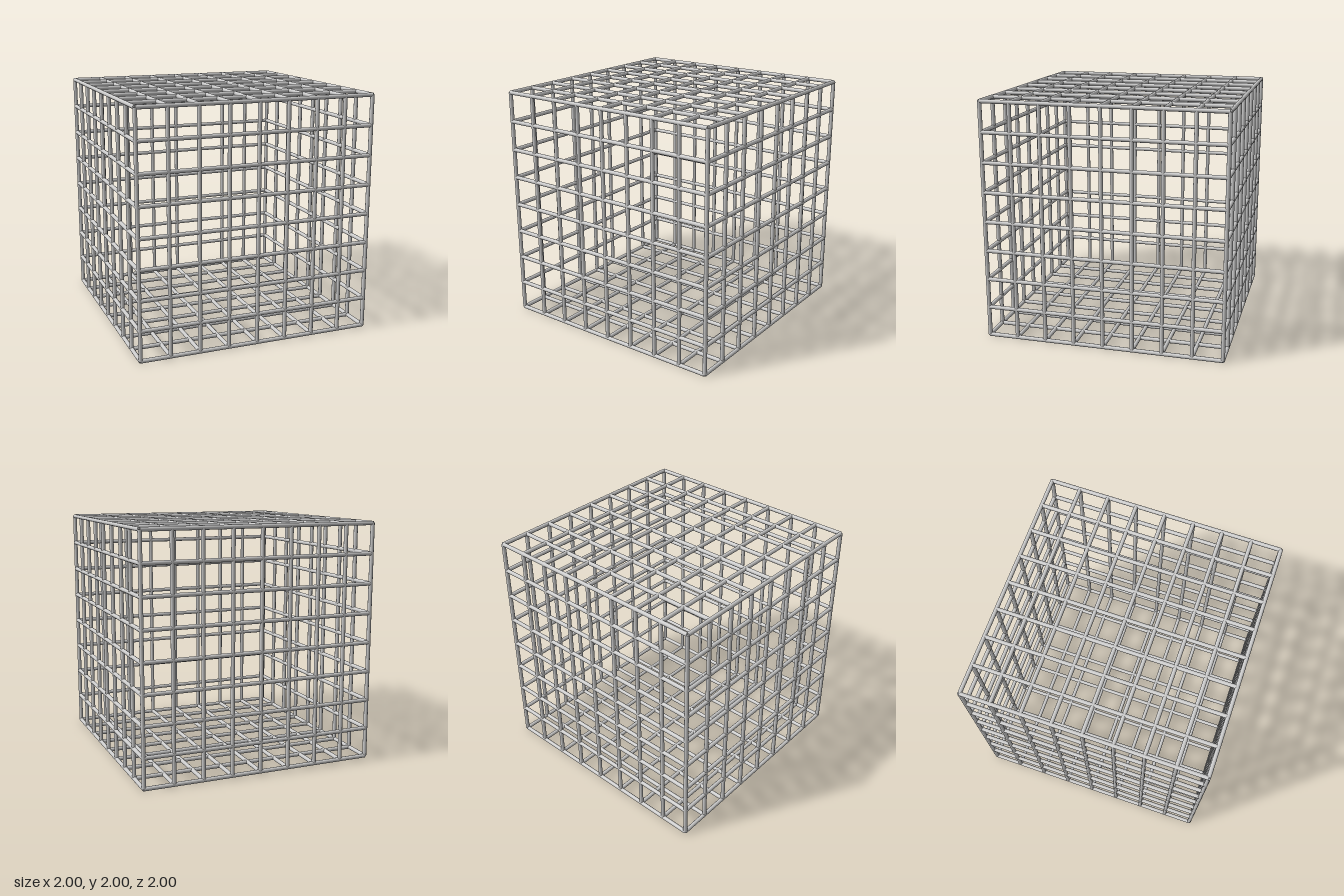
import * as THREE from 'three';

const CELLS = 8;                     // grid cells along each edge
const RADIUS = 0.017;                // bar radius
const HALF = 1 - RADIUS;             // distance from centre to the outer bar axes
const STEP = (2 * HALF) / CELLS;

export function createModel() {
  const model = new THREE.Group();
  model.name = 'cubeCage';
  const material = new THREE.MeshStandardMaterial({ color: 0xcccccc });
  const barGeometry = new THREE.CylinderGeometry(RADIUS, RADIUS, 2 * HALF, 12);

  // Each bar set runs along one axis; place maps grid offsets to a position
  const sets = [
    { name: 'uprightBar', rotation: [0, 0, 0], place: (a, b) => [a, 0, b] },
    { name: 'crossBar', rotation: [0, 0, Math.PI / 2], place: (a, b) => [0, a, b] },
    { name: 'depthBar', rotation: [Math.PI / 2, 0, 0], place: (a, b) => [a, b, 0] },
  ];
  const onRim = (i) => i === 0 || i === CELLS;

  for (const { name, rotation, place } of sets) {
    const group = new THREE.Group();
    group.name = name + 's';
    for (let i = 0; i <= CELLS; i++) {
      for (let j = 0; j <= CELLS; j++) {
        // Bars lie only in the six outer faces; the inside is hollow
        if (!onRim(i) && !onRim(j)) continue;
        const bar = new THREE.Mesh(barGeometry, material);
        bar.name = name;
        bar.rotation.set(...rotation);
        bar.position.set(...place(i * STEP - HALF, j * STEP - HALF));
        group.add(bar);
      }
    }
    model.add(group);
  }

  // Stand the cage on the ground
  for (const group of model.children) group.position.y = 1;
  return model;
}
